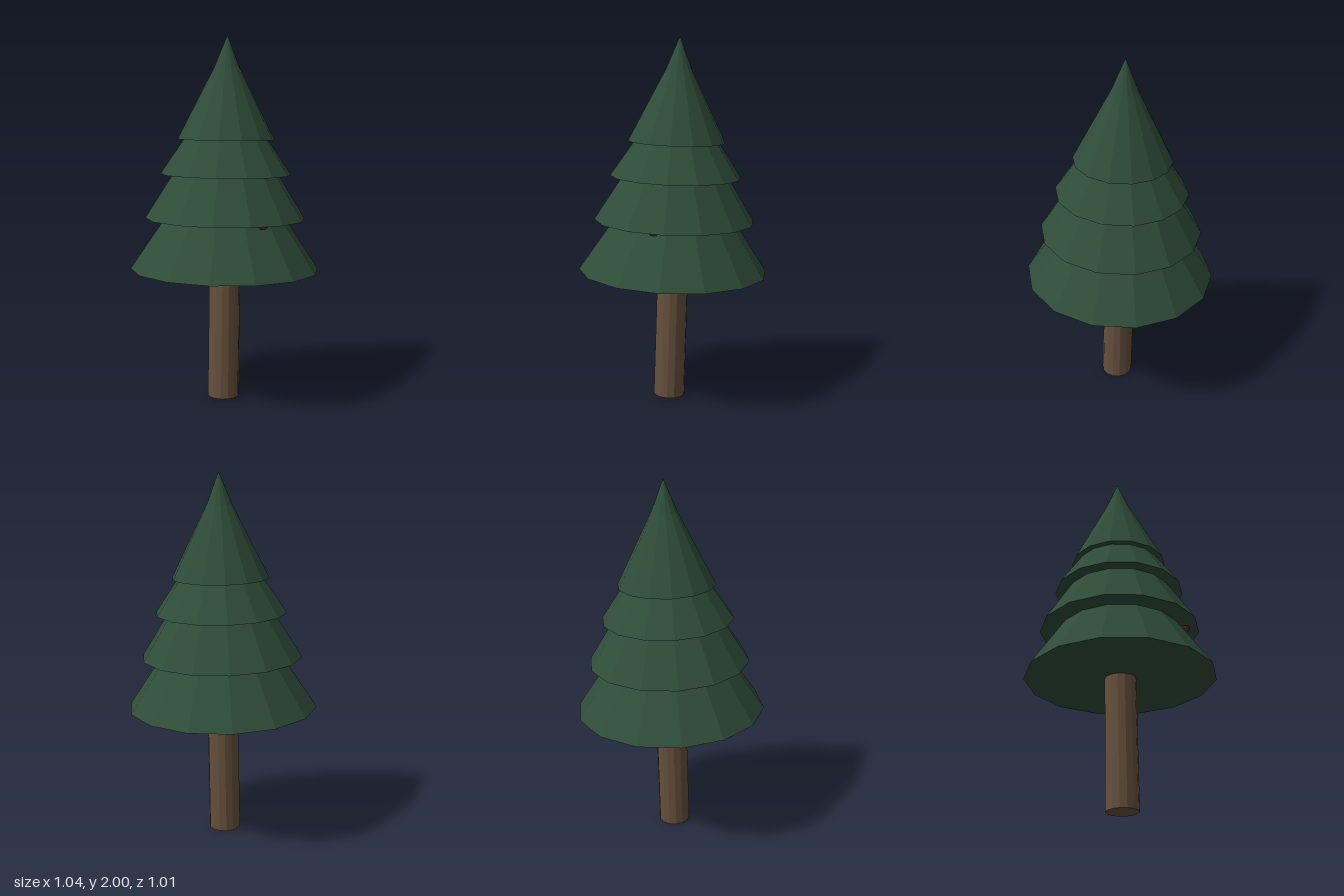
import * as THREE from 'three';

const SIDES = 14;

export function createModel() {
  const model = new THREE.Group();
  model.name = 'pineTree';

  const flat = (name, color) => {
    const m = new THREE.MeshStandardMaterial({ color, flatShading: true });
    m.name = name;
    return m;
  };
  const needles = flat('needleGreen', 0x2f4d39);
  const bark = flat('barkBrown', 0x65503c);
  const coneBrown = flat('coneBrown', 0x5e3426);

  // The whole tree leans slightly backwards
  const tree = new THREE.Group();
  tree.name = 'leaningTree';
  tree.rotation.x = -0.0315;
  tree.position.set(0, 0.003, 0.025);
  model.add(tree);

  const add = (name, geometry, material) => {
    const mesh = new THREE.Mesh(geometry, material);
    mesh.name = name;
    tree.add(mesh);
    return mesh;
  };

  // Faceted solid of revolution with a corner on each side
  const turned = (points) => new THREE.LatheGeometry(
    points.map(([r, y]) => new THREE.Vector2(r, y)), SIDES, Math.PI / SIDES);

  // Trunk
  add('trunk', turned([[0, 0], [0.087, 0], [0.085, 0.8], [0, 0.8]]), bark);

  // Foliage tiers: each skirt has a flat underside and tucks into the one above
  const tiers = [
    [[0.52, 0.725], [0.322, 1.02]],
    [[0.44, 1.006], [0.278, 1.265]],
    [[0.358, 1.248], [0.222, 1.45]],
    [[0.265, 1.437], [0.07, 1.825], [0, 1.998]],
  ];
  tiers.forEach((profile, i) => {
    const closed = [[0, profile[0][1]], ...profile];
    const [r, y] = profile[profile.length - 1];
    if (r > 0) closed.push([0, y]);
    add('foliageTier' + (i + 1), turned(closed), needles);
  });

  // Small cone hanging below the second tier
  const cone = add('pineCone', new THREE.SphereGeometry(0.032, 8, 6), coneBrown);
  cone.position.set(0.29, 1.012, 0.208);

  return model;
}
